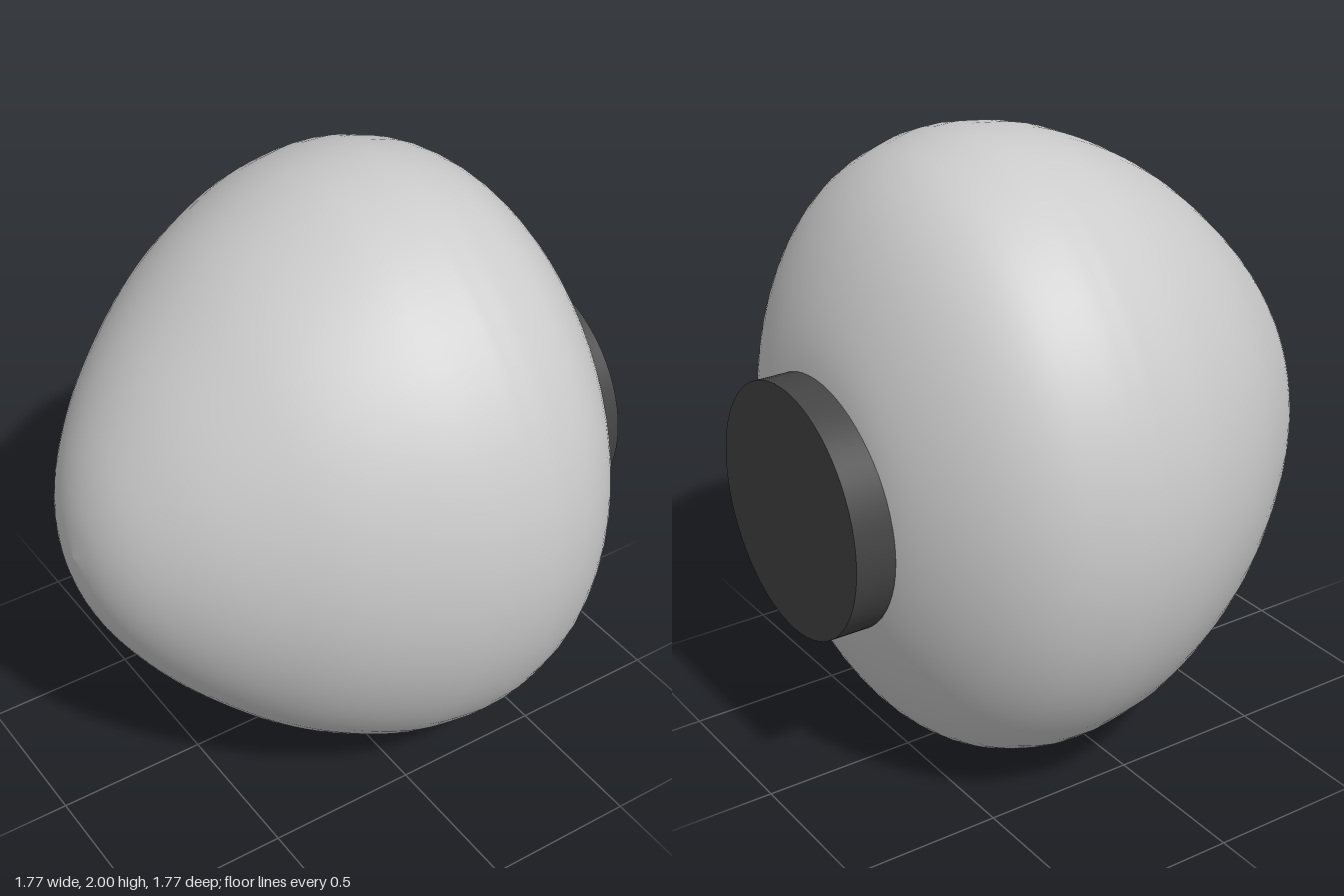
import * as THREE from 'three';

export function createModel() {
  const model = new THREE.Group();

  // Egg-shaped body: profile of [x, radius] turned about the x axis
  const profile = [
    [-0.89, 0], [-0.87, 0.145], [-0.82, 0.285], [-0.74, 0.42], [-0.635, 0.555],
    [-0.5, 0.69], [-0.36, 0.805], [-0.2, 0.9], [-0.03, 0.97], [0.13, 0.998],
    [0.2, 1], [0.29, 0.99], [0.44, 0.935], [0.57, 0.825], [0.68, 0.655],
    [0.76, 0.445], [0.785, 0.22], [0.79, 0],
  ].map(([x, r]) => new THREE.Vector2(r, x));
  const points = new THREE.SplineCurve(profile).getPoints(68);
  points.forEach((p) => { p.x = Math.max(p.x, 0); });
  const bodyGeometry = new THREE.LatheGeometry(points, 64);
  bodyGeometry.rotateZ(-Math.PI / 2);
  bodyGeometry.scale(1, 1, 0.882);
  const body = new THREE.Mesh(bodyGeometry, new THREE.MeshStandardMaterial({ color: 0xcccccc }));
  body.name = 'body';
  body.position.y = 1;
  model.add(body);

  // Dark round disc set into the blunt end
  const discGeometry = new THREE.CylinderGeometry(0.4, 0.4, 0.185, 64);
  discGeometry.rotateZ(-Math.PI / 2);
  const disc = new THREE.Mesh(discGeometry, new THREE.MeshStandardMaterial({ color: 0x444444 }));
  disc.name = 'endDisc';
  disc.position.set(0.7925, 0.955, 0);
  model.add(disc);

  return model;
}
